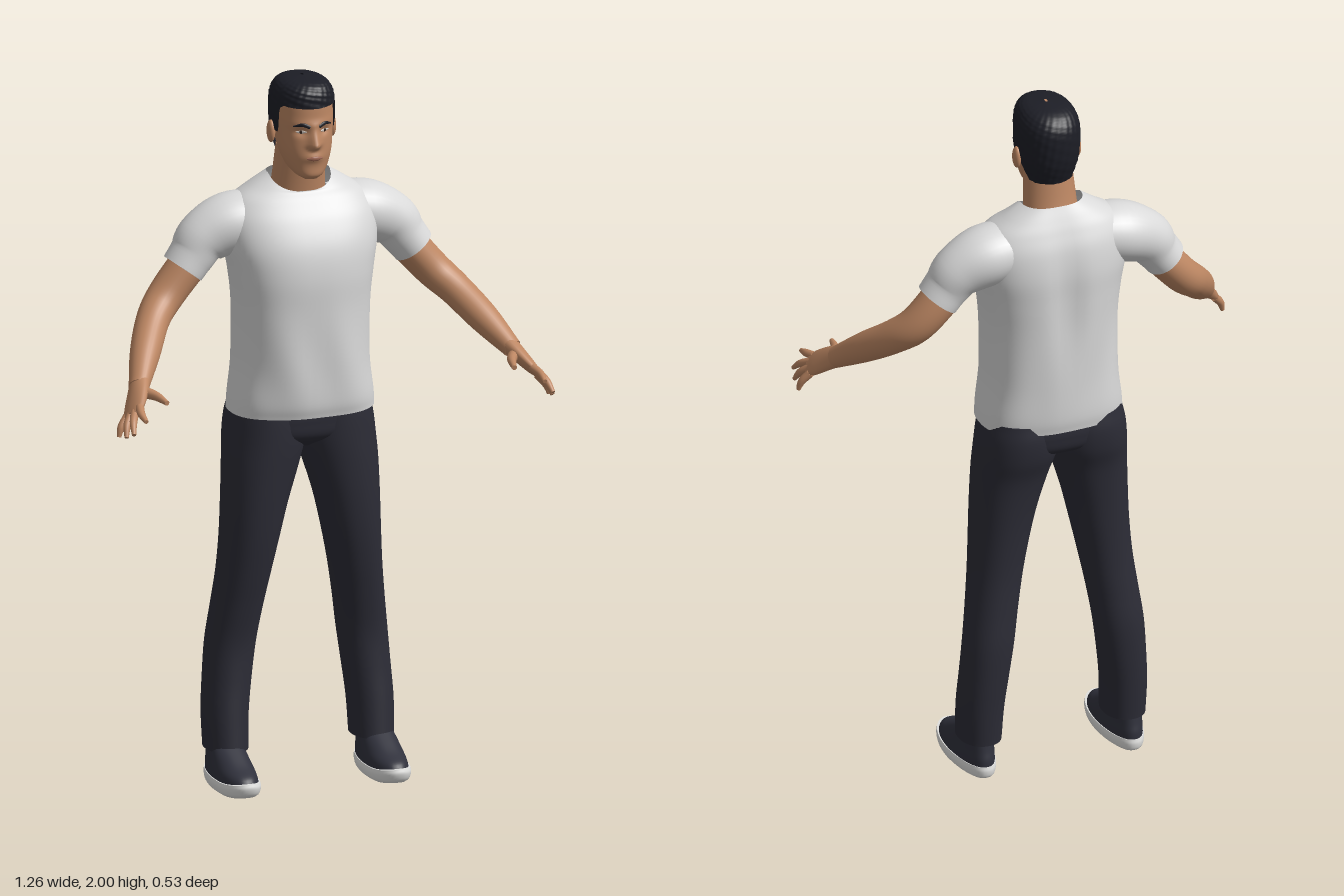
import * as THREE from 'three';

const material = (name, color, side = THREE.FrontSide) => {
  const m = new THREE.MeshStandardMaterial({ color, side });
  m.name = name;
  return m;
};

// Catmull-Rom through a table of rows, t from 0 to 1
function sample(rows, t) {
  const last = rows.length - 1, f = Math.min(Math.max(t, 0), 1) * last;
  const i = Math.min(Math.floor(f), last - 1), u = f - i;
  return rows[i].map((b, k) => {
    const c = rows[i + 1][k];
    const a = i > 0 ? rows[i - 1][k] : 2 * b - c;
    const d = i + 2 <= last ? rows[i + 2][k] : 2 * c - b;
    return 0.5 * (2 * b + (c - a) * u + (2 * a - 5 * b + 4 * c - d) * u * u + (3 * b - a - 3 * c + d) * u * u * u);
  });
}

// Joins closed rings of points into a surface, optionally with crisp end caps
function skinRings(rings, name, mat, caps = true) {
  const n = rings[0].length;
  if (caps) {
    const centre = (r) => {
      const c = r.reduce((s, p) => s.add(p), new THREE.Vector3()).divideScalar(n);
      return r.map(() => c);
    };
    const a = rings[0], b = rings[rings.length - 1];
    rings = [centre(a), a, ...rings, b, centre(b)];
  }
  const index = [];
  for (let i = 0; i < rings.length - 1; i++)
    for (let j = 0; j < n; j++) {
      const k = (j + 1) % n, a = i * n, b = a + n;
      index.push(a + j, a + k, b + k, a + j, b + k, b + j);
    }
  const geo = new THREE.BufferGeometry().setFromPoints(rings.flat());
  geo.setIndex(index);
  geo.computeVertexNormals();
  const mesh = new THREE.Mesh(geo, mat);
  mesh.name = name;
  return mesh;
}

const pow = (v, p) => Math.sign(v) * Math.abs(v) ** (2 / p);

// Point on a horizontal section [y, centre x, half width, front z, back z]; angle 0 is the front
function ringPoint([y, cx, hw, zf, zb], angle, p) {
  return new THREE.Vector3(cx + hw * pow(Math.sin(angle), p), y,
    (zf + zb) / 2 + (zf - zb) / 2 * pow(Math.cos(angle), p));
}

function loft(sections, name, mat, { n = 48, steps = 40, p = 2.2, caps = true, start = () => 0, rule = () => {} } = {}) {
  const rings = [];
  for (let i = 0; i <= steps; i++) {
    rings.push(Array.from({ length: n }, (_, j) => {
      const angle = j / n * Math.PI * 2, t0 = start(angle), t = t0 + (1 - t0) * i / steps;
      const v = ringPoint(sample(sections, t), angle, p);
      rule(v, angle, t);
      return v;
    }));
  }
  return skinRings(rings, name, mat, caps);
}

// Tapered limb along points [x, y, z, thickness, width]; ref is the width direction
function limb(points, name, mat, ref = [0, 0, 1], n = 20, steps = 24) {
  const rings = [];
  for (let i = 0; i <= steps; i++) {
    const t = i / steps, [x, y, z, ra, rb] = sample(points, t);
    const dir = new THREE.Vector3(...sample(points, t + 0.01)).sub(new THREE.Vector3(...sample(points, t - 0.01))).normalize();
    const B = new THREE.Vector3(...ref);
    B.addScaledVector(dir, -B.dot(dir)).normalize();
    const A = B.clone().cross(dir);
    rings.push(Array.from({ length: n }, (_, j) => {
      const a = j / n * Math.PI * 2;
      return new THREE.Vector3(x, y, z).addScaledVector(A, ra * Math.cos(a)).addScaledVector(B, rb * Math.sin(a));
    }));
  }
  return skinRings(rings, name, mat);
}

const bump = (v, c, w) => Math.exp(-(((v - c) / w) ** 2));

const HEAD = [[1.722, 0, 0.02, -0.008, -0.05], [1.735, 0, 0.04, 0.004, -0.09], [1.76, 0, 0.058, 0.006, -0.13],
  [1.80, 0, 0.071, 0.010, -0.16], [1.85, 0, 0.078, 0.008, -0.185], [1.90, 0, 0.08, 0.008, -0.195],
  [1.95, 0, 0.073, 0.002, -0.185], [1.978, 0, 0.045, -0.03, -0.15], [1.985, 0, 0.004, -0.085, -0.1]];

// Nose, brow, eye sockets and lips as offsets of the face
function relief(x, y) {
  const ramp = y > 1.822 ? Math.max(0, (1.885 - y) / 0.063) : Math.max(0, (y - 1.806) / 0.016);
  return 0.028 * ramp * bump(x, 0, 0.012 + 0.004 * ramp)
    - 0.008 * bump(Math.abs(x), 0.033, 0.017) * bump(y, 1.859, 0.011)
    + 0.004 * bump(x, 0, 0.05) * bump(y, 1.882, 0.01)
    + 0.006 * bump(x, 0, 0.026) * bump(y, 1.786, 0.012);
}

function faceZ(x, y) {
  let lo = 0, hi = 1;
  for (let i = 0; i < 30; i++) {
    const m = (lo + hi) / 2;
    if (sample(HEAD, m)[0] < y) lo = m; else hi = m;
  }
  const [, , hw, zf, zb] = sample(HEAD, lo);
  return (zf + zb) / 2 + (zf - zb) / 2 * (1 - Math.abs(x / hw) ** 2.2) ** (1 / 2.2) + relief(x, y);
}

// Lower edge of the hair: angle in degrees, row of the hair table
const HAIRLINE = [[0, 1.95], [58, 2.0], [68, 1.85], [73, 1.0], [87, 1.0], [92, 1.25], [100, 0.6], [118, 0], [181, 0]];
function hairStart(angle) {
  const deg = Math.abs(angle > Math.PI ? angle - 2 * Math.PI : angle) * 180 / Math.PI;
  const i = HAIRLINE.findIndex((h, k) => deg <= HAIRLINE[k + 1][0]);
  const [a, ra] = HAIRLINE[i], [b, rb] = HAIRLINE[i + 1];
  return (ra + (rb - ra) * (deg - a) / (b - a)) / 5;
}

export function createModel() {
  const model = new THREE.Group();
  model.name = 'standingMan';
  const skin = material('skin', 0xbd8763), shirt = material('shirt', 0xd9d9d9, THREE.DoubleSide);
  const trousers = material('trousers', 0x2c2c36), hair = material('hair', 0x1d1e26, THREE.DoubleSide);
  const shoe = material('shoe', 0x30313c), sole = material('sole', 0xe2e2e0);
  const lips = material('lips', 0x9c6450), eyeWhite = material('eyeWhite', 0xcfc6be), iris = material('iris', 0x2a1c16);
  const add = (...m) => model.add(...m);
  const ball = (name, mat, pos, scale) => {
    const m = new THREE.Mesh(new THREE.SphereGeometry(1, 20, 14), mat);
    m.name = name;
    m.position.set(...pos);
    m.scale.set(...scale);
    return m;
  };

  // Head, neck and hair
  add(loft(HEAD, 'head', skin, { n: 96, steps: 80, rule: (v, a) => { if (Math.cos(a) > 0.3) v.z += relief(v.x, v.y); } }));
  add(limb([[0, 1.62, -0.14, 0.08, 0.07], [0, 1.70, -0.122, 0.075, 0.062], [0, 1.80, -0.105, 0.068, 0.062]], 'neck', skin, [0, 0, 1], 32));
  add(loft([[1.782, 0, 0.07, 0, -0.176], [1.85, 0, 0.084, 0.012, -0.2], [1.93, 0, 0.085, 0.014, -0.207],
    [1.97, 0, 0.075, 0.008, -0.192], [1.99, 0, 0.052, -0.02, -0.16], [1.998, 0, 0.004, -0.085, -0.1]],
  'hair', hair, { n: 120, steps: 40, caps: false, start: hairStart, rule: (v, a, t) => {
    const k = 1 + 0.016 * Math.sin(a * 17 + t * 31) * Math.sin(a * 9 - t * 47);
    v.x *= k;
    v.z = -0.095 + (v.z + 0.095) * k;
  } }));
  add(limb([-0.022, -0.008, 0, 0.008, 0.022].map((x, i) =>
    [x, 1.786, faceZ(x, 1.786) + 0.0005, i % 4 ? 0.006 : 0.002, 0.003]), 'lips', lips));

  // Torso of the shirt, with a lowered neckline and a groove along the spine
  add(loft([[1.055, 0, 0.204, 0.036, -0.256], [1.10, 0, 0.2, 0.046, -0.262], [1.2, 0, 0.188, 0.05, -0.262],
    [1.35, 0, 0.188, 0.05, -0.262], [1.45, 0, 0.199, 0.05, -0.263], [1.53, 0, 0.213, 0.036, -0.262],
    [1.6, 0, 0.213, 0.004, -0.25], [1.65, 0, 0.188, -0.03, -0.23], [1.685, 0, 0.14, -0.05, -0.212],
    [1.718, 0, 0.088, -0.052, -0.193]], 'shirtBody', shirt, { n: 72, steps: 54, p: 2.45, caps: false, rule: (v, a, t) => {
    const c = Math.cos(a);
    v.y -= 0.042 * Math.max(0, c) * Math.max(0, (t - 0.75) / 0.25) ** 2;
    if (c < 0) v.z += 0.016 * bump(v.x, 0, 0.04) * bump(v.y, 1.45, 0.18);
    v.z += 0.004 * Math.sin(v.x * 38 + v.y * 9) * bump(v.y, 1.2, 0.14);
  } }));

  // Hips joining the two trouser legs
  add(loft([[0.95, 0, 0.08, -0.06, -0.17], [0.985, 0, 0.17, -0.008, -0.235], [1.03, 0, 0.203, 0.002, -0.25],
    [1.08, 0, 0.194, 0.002, -0.248]], 'hips', trousers, { p: 2.4 }));

  for (const s of [1, -1]) {
    const side = s > 0 ? 'left' : 'right';
    const flip = (rows) => rows.map(([x, ...r]) => [x * s, ...r]);

    // Face details
    add(ball(side + 'Ear', skin, [s * 0.088, 1.843, -0.098], [0.011, 0.032, 0.019]));
    add(limb(flip([0.013, 0.032, 0.053].map((x, i) => [x, [1.875, 1.882, 1.876][i], faceZ(x, [1.875, 1.882, 1.876][i]),
      [0.005, 0.005, 0.002][i], 0.003])), side + 'Eyebrow', hair));
    add(limb(flip([0.02, 0.033, 0.047].map((x, i) => [x, 1.86, faceZ(x, 1.86), [0.001, 0.006, 0.001][i], 0.002])), side + 'Eye', eyeWhite));
    add(ball(side + 'Iris', iris, [s * 0.033, 1.86, faceZ(0.033, 1.86) + 0.001], [0.0055, 0.0055, 0.002]));

    // Sleeve and arm
    add(limb(flip([[0.08, 1.595, -0.135, 0.07, 0.08], [0.19, 1.583, -0.138, 0.084, 0.092], [0.27, 1.548, -0.135, 0.075, 0.076],
      [0.305, 1.505, -0.13, 0.064, 0.066], [0.333, 1.468, -0.128, 0.06, 0.065]]), side + 'Sleeve', shirt, [0, 0, 1], 36));
    add(limb(flip([[0.24, 1.56, -0.13, 0.05, 0.055], [0.31, 1.485, -0.13, 0.052, 0.058], [0.385, 1.4, -0.118, 0.05, 0.054],
      [0.437, 1.348, -0.075, 0.046, 0.048], [0.49, 1.283, 0.01, 0.042, 0.042], [0.54, 1.217, 0.1, 0.027, 0.031]]),
    side + 'Arm', skin, [0, 0, 1], 28, 36));

    // Hand
    const spread = [0.47 * s, -0.55, -0.7];
    add(limb(flip([[0.53, 1.23, 0.082, 0.026, 0.03], [0.553, 1.202, 0.125, 0.021, 0.037], [0.573, 1.178, 0.158, 0.016, 0.039],
      [0.588, 1.162, 0.18, 0.01, 0.033]]), side + 'Palm', skin, spread));
    const fingers = {
      IndexFinger: [[0.568, 1.184, 0.185], [0.577, 1.176, 0.225], [0.576, 1.165, 0.262]],
      MiddleFinger: [[0.579, 1.172, 0.178], [0.597, 1.152, 0.215], [0.606, 1.126, 0.245]],
      RingFinger: [[0.587, 1.162, 0.167], [0.607, 1.138, 0.192], [0.616, 1.11, 0.212]],
      LittleFinger: [[0.593, 1.152, 0.153], [0.614, 1.126, 0.163], [0.622, 1.1, 0.168]],
      Thumb: [[0.541, 1.208, 0.118], [0.515, 1.206, 0.165], [0.502, 1.2, 0.222]],
    };
    for (const [name, path] of Object.entries(fingers)) {
      const r = name === 'Thumb' ? [0.018, 0.013, 0.007] : [0.012, 0.0105, 0.006];
      add(limb(flip(path.map((q, i) => [...q, r[i], r[i]])), side + name, skin, spread, 12, 12));
    }

    // Trouser leg: y, inner x, outer x, front z, back z
    const leg = [[0.10, 0.152, 0.27, -0.045, -0.202], [0.2, 0.147, 0.272, -0.055, -0.21], [0.3, 0.135, 0.266, -0.064, -0.217],
      [0.4, 0.121, 0.258, -0.066, -0.22], [0.5, 0.106, 0.245, -0.05, -0.213], [0.6, 0.088, 0.233, -0.03, -0.207],
      [0.7, 0.067, 0.226, -0.014, -0.208], [0.8, 0.043, 0.222, -0.005, -0.214], [0.9, 0.012, 0.218, 0, -0.226],
      [0.97, -0.008, 0.213, 0.002, -0.246], [1.03, -0.01, 0.206, 0.002, -0.252], [1.08, 0, 0.194, 0, -0.245]];
    add(loft(leg.map(([y, a, b, zf, zb]) => [y, s * (a + b) / 2, (b - a) / 2, zf, zb]), side + 'TrouserLeg', trousers, { steps: 55 }));

    // Shoe, narrower at the heel, with the toe lifted slightly
    const rule = (v) => {
      v.x = s * 0.217 + (v.x - s * 0.217) * (1 - 0.18 * Math.max(0, -0.06 - v.z) / 0.15);
      v.y += 0.012 * Math.max(0, v.z / 0.095) ** 2;
    };
    const cx = s * 0.217;
    add(loft([[0, cx, 0.048, 0.075, -0.195], [0.008, cx, 0.058, 0.088, -0.206], [0.025, cx, 0.062, 0.095, -0.21],
      [0.038, cx, 0.06, 0.092, -0.208]], side + 'Sole', sole, { steps: 12, p: 2.3, rule }));
    add(loft([[0.03, cx, 0.058, 0.086, -0.205], [0.055, cx, 0.056, 0.068, -0.205], [0.08, cx, 0.052, 0.02, -0.2],
      [0.115, cx, 0.046, -0.05, -0.195]], side + 'Shoe', shoe, { steps: 16, p: 2.3, rule }));
  }
  return model;
}
